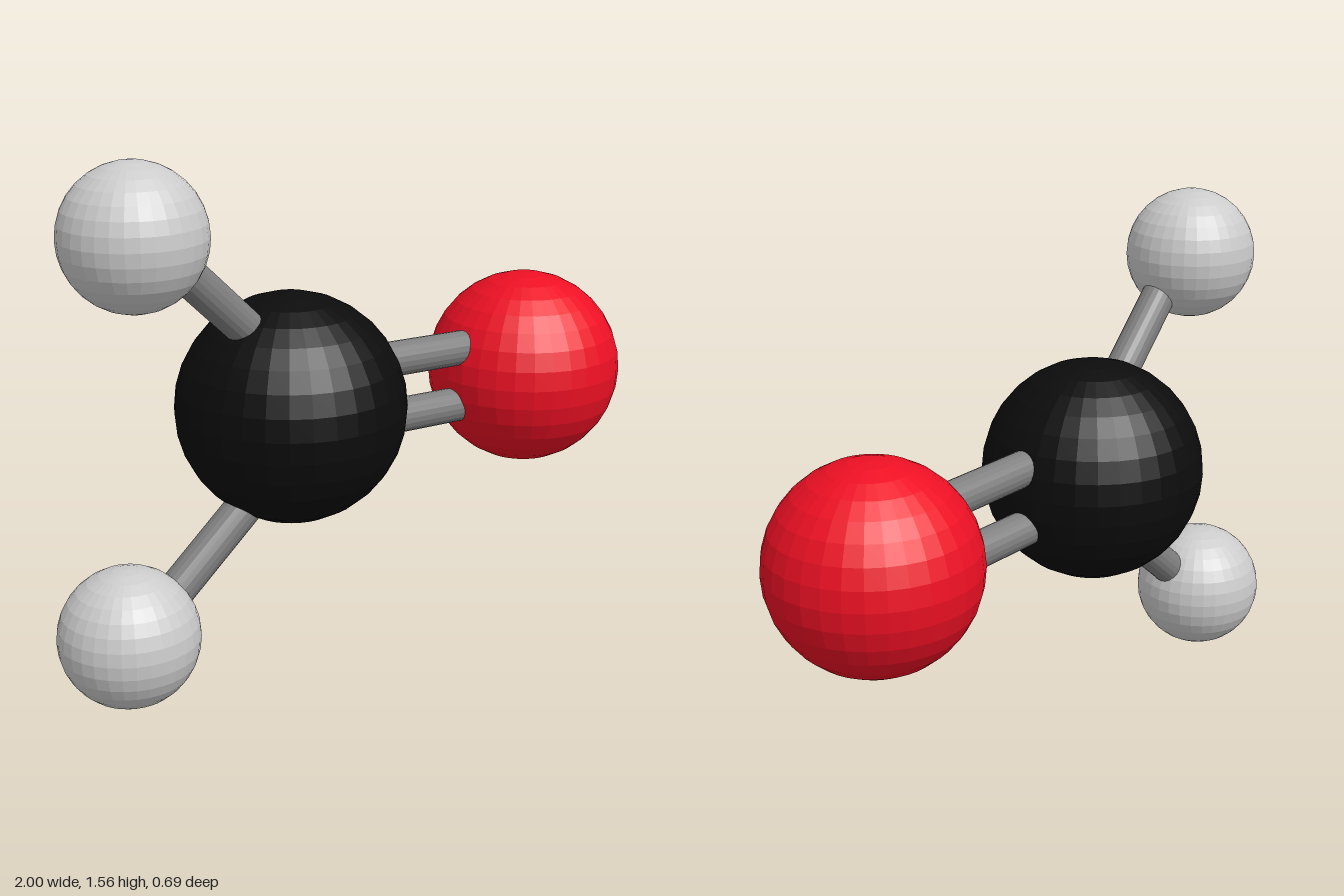
import * as THREE from 'three';

const material = (color) => new THREE.MeshStandardMaterial({ color, flatShading: true });

export function createModel() {
  const group = new THREE.Group();
  group.name = 'molecule';

  const black = material(0x0c0c0c);
  const red = material(0xee1024);
  const pale = material(0xcccccc);
  const grey = material(0x808080);

  // Ball-shaped atoms
  const atom = (name, position, radius, mat) => {
    const mesh = new THREE.Mesh(new THREE.SphereGeometry(radius, 32, 16), mat);
    mesh.name = name;
    mesh.position.copy(position);
    group.add(mesh);
  };

  // Round stick running between two points
  const bond = (name, from, to) => {
    const axis = to.clone().sub(from);
    const mesh = new THREE.Mesh(new THREE.CylinderGeometry(0.054, 0.054, axis.length(), 20), grey);
    mesh.name = name;
    mesh.position.copy(from).add(to).multiplyScalar(0.5);
    mesh.quaternion.setFromUnitVectors(new THREE.Vector3(0, 1, 0), axis.normalize());
    group.add(mesh);
  };

  const V = (x, y, z) => new THREE.Vector3(x, y, z);
  const carbon = V(-0.23, 0.78, 0);
  const oxygen = V(0.69, 0.743, -0.037);
  const upper = V(-0.76, 1.358, 0.067);
  const lower = V(-0.796, 0.207, 0.02);

  atom('carbonAtom', carbon, 0.341, black);
  atom('oxygenAtom', oxygen, 0.307, red);
  atom('upperHydrogenAtom', upper, 0.204, pale);
  atom('lowerHydrogenAtom', lower, 0.204, pale);

  // Double bond: a parallel pair either side of the axis
  const offset = upper.clone().sub(lower).setLength(0.093);
  for (const side of [1, -1]) {
    const shift = offset.clone().multiplyScalar(side);
    bond(side > 0 ? 'upperDoubleBond' : 'lowerDoubleBond',
      carbon.clone().add(shift), oxygen.clone().add(shift));
  }

  // Single bonds, set slightly outward of the atom centres
  bond('upperSingleBond', carbon.clone().add(V(0, 0.11, 0.01)), upper.clone().add(V(0, 0.025, 0.025)));
  bond('lowerSingleBond', carbon.clone().add(V(0, -0.11, 0.02)), lower.clone().add(V(0, -0.03, 0.005)));

  return group;
}
